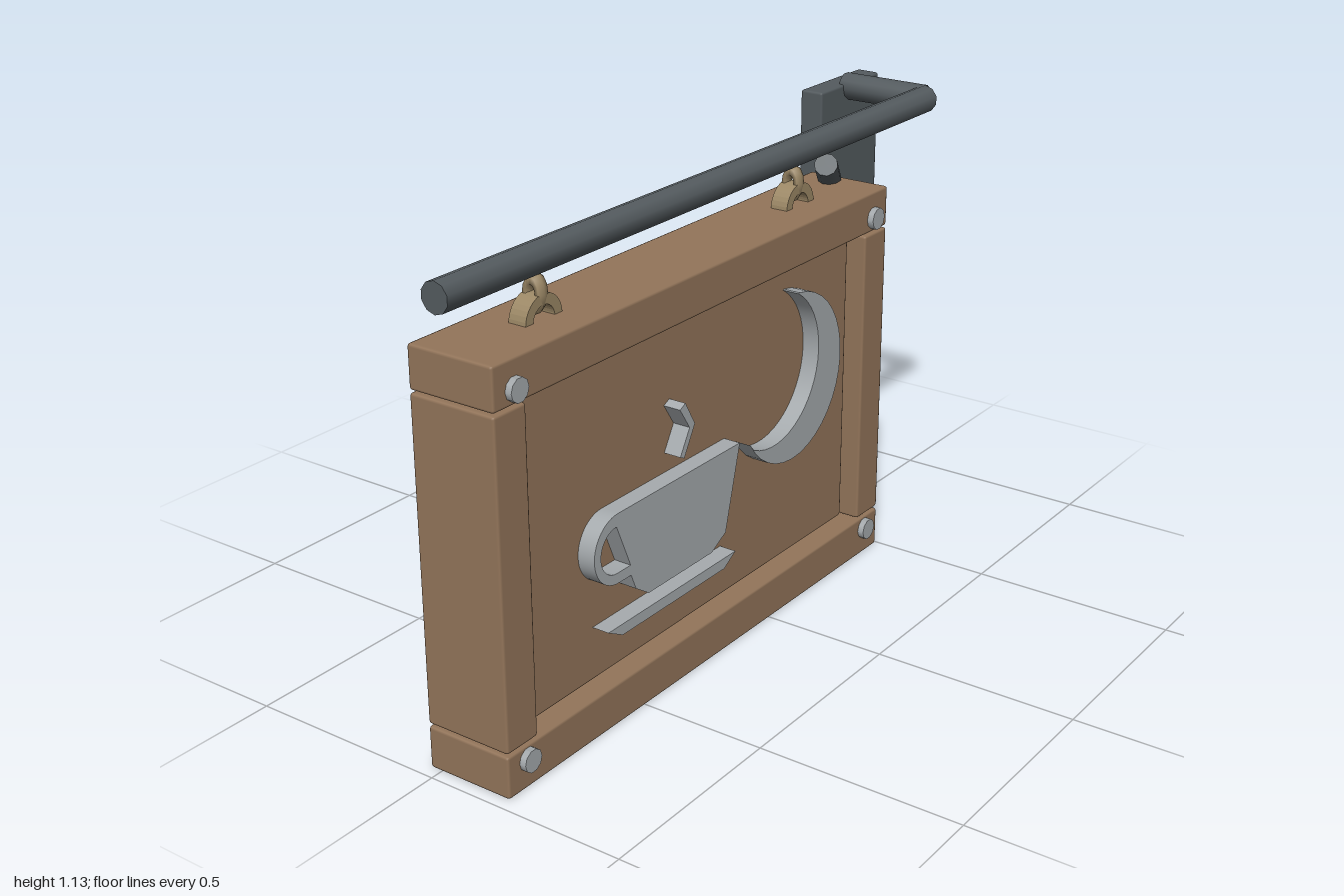
import * as THREE from 'three';
import { RoundedBoxGeometry } from 'three/addons/geometries/RoundedBoxGeometry.js';
import { toCreasedNormals } from 'three/addons/utils/BufferGeometryUtils.js';

const material = (color) => new THREE.MeshStandardMaterial({ color });
const wood = material(0x93755a);
const iron = material(0x545b5f);
const brass = material(0x9c8866);
const silver = material(0xa6abae);

const CX = 0.08; // centre plane of the sign board
const UP = new THREE.Vector3(0, 1, 0);

export function createModel() {
  const model = new THREE.Group();
  model.name = 'hangingSign';

  const add = (name, geometry, mat, x = 0, y = 0, z = 0) => {
    const mesh = new THREE.Mesh(geometry, mat);
    mesh.name = name;
    mesh.position.set(x, y, z);
    model.add(mesh);
    return mesh;
  };

  // Box with chamfered edges, given by its limits on each axis
  const block = (name, mat, [x0, x1], [y0, y1], [z0, z1]) =>
    add(name, new RoundedBoxGeometry(x1 - x0, y1 - y0, z1 - z0, 1, 0.007), mat,
      (x0 + x1) / 2, (y0 + y1) / 2, (z0 + z1) / 2);

  // Round bar between two points
  const bar = (name, mat, a, b, radius, sides = 10) => {
    const from = new THREE.Vector3(...a), to = new THREE.Vector3(...b);
    const dir = to.clone().sub(from);
    const geo = toCreasedNormals(new THREE.CylinderGeometry(radius, radius, dir.length(), sides), 0.8);
    const mesh = add(name, geo, mat);
    mesh.position.copy(from).add(to).multiplyScalar(0.5);
    mesh.quaternion.setFromUnitVectors(UP, dir.normalize());
    return mesh;
  };

  // Wall plate and bracket
  block('wallPlate', iron, [-0.21, -0.145], [0.43, 1.105], [-1, -0.717]);
  bar('bracketArm', iron, [-0.16, 1.095, -0.857], [CX, 1.095, -0.857], 0.035);
  bar('hangingPole', iron, [CX, 1.095, -0.857], [CX, 1.095, 1], 0.035);
  bar('strut', iron, [-0.14, 0.665, -0.85], [CX, 1.03, -0.385], 0.029);
  for (const y of [0.525, 0.72]) {
    bar('plateBolt', brass, [-0.15, y, -0.853], [-0.114, y, -0.853], 0.028);
  }

  // Wooden frame and recessed panel
  const depth = [-0.03, 0.19];
  block('topRail', wood, depth, [0.87, 0.97], [-0.495, 0.97]);
  block('bottomRail', wood, depth, [0, 0.102], [-0.495, 0.97]);
  block('frontStile', wood, depth, [0.108, 0.865], [0.872, 0.97]);
  block('backStile', wood, depth, [0.108, 0.865], [-0.495, -0.397]);
  block('panel', wood, [0.01, 0.15], [0.115, 0.86], [-0.382, 0.858]);

  // Corner bolts run through the frame and show on both faces
  for (const y of [0.07, 0.905]) {
    for (const z of [0.907, -0.43]) {
      bar('cornerBolt', silver, [-0.046, y, z], [0.206, y, z], 0.027);
    }
  }

  // Hangers: an arched staple on the rail, linked to a loop under the pole
  const staple = new THREE.Shape();
  staple.absarc(0, 0, 0.058, 0, Math.PI, false);
  staple.absarc(0, 0, 0.034, Math.PI, 0, true);
  const stapleGeo = new THREE.ExtrudeGeometry(staple, { depth: 0.045, bevelEnabled: false, curveSegments: 8 });
  stapleGeo.rotateY(Math.PI / 2);
  const loopGeo = new THREE.TorusGeometry(0.034, 0.018, 6, 12);
  loopGeo.scale(0.5, 0.9, 1);
  for (const z of [0.71, -0.235]) {
    add('staple', stapleGeo, brass, 0.06, 0.967, z);
    add('hangerLoop', loopGeo, brass, CX + 0.003, 1.022, z);
  }

  // Reliefs: outlines in (-z, y), repeated on both faces of the panel
  const outline = (points) => new THREE.Shape(points.map(([z, y]) => new THREE.Vector2(-z, y)));
  const relief = (name, shape) => {
    const geo = new THREE.ExtrudeGeometry(shape, { depth: 0.054, bevelEnabled: false, curveSegments: 12 });
    geo.rotateY(Math.PI / 2);
    const smooth = toCreasedNormals(geo, 0.5);
    add(name + 'Left', smooth, silver, 0.14, 0, 0);
    add(name + 'Right', smooth, silver, -0.034, 0, 0);
  };

  // Cup with its handle
  const cup = new THREE.Shape();
  cup.moveTo(-0.14, 0.515);
  cup.lineTo(-0.59, 0.515);
  cup.absarc(-0.595, 0.4325, 0.0825, Math.PI / 2, Math.PI * 1.5, false);
  cup.lineTo(-0.552, 0.35);
  for (const [z, y] of [[0.535, 0.31], [0.49, 0.28], [0.25, 0.28], [0.195, 0.31]]) cup.lineTo(-z, y);
  cup.closePath();
  const hole = new THREE.Path();
  hole.moveTo(-0.58, 0.485);
  hole.absarc(-0.6, 0.43, 0.055, Math.PI / 2, Math.PI * 1.5, false);
  hole.lineTo(-0.553, 0.375);
  hole.closePath();
  cup.holes.push(hole);
  relief('cup', cup);

  relief('saucer', outline([[0.635, 0.245], [0.585, 0.218], [0.2, 0.218], [0.155, 0.245]]));
  relief('steam', outline([[0.37, 0.675], [0.335, 0.622], [0.37, 0.562], [0.355, 0.555],
    [0.315, 0.625], [0.35, 0.685]]));

  // Crescent moon between two arcs that meet at the tips
  const angle = (cx, cy, x, y) => Math.atan2(y - cy, x - cx);
  const tipA = [-0.1, 0.49], tipB = [0.1, 0.81];
  const moon = new THREE.Shape();
  moon.absarc(0.08, 0.602, 0.208, angle(0.08, 0.602, ...tipA), angle(0.08, 0.602, ...tipB), false);
  moon.absarc(0, 0.645, 0.189, angle(0, 0.645, ...tipB), angle(0, 0.645, ...tipA), true);
  relief('moon', moon);

  return model;
}
